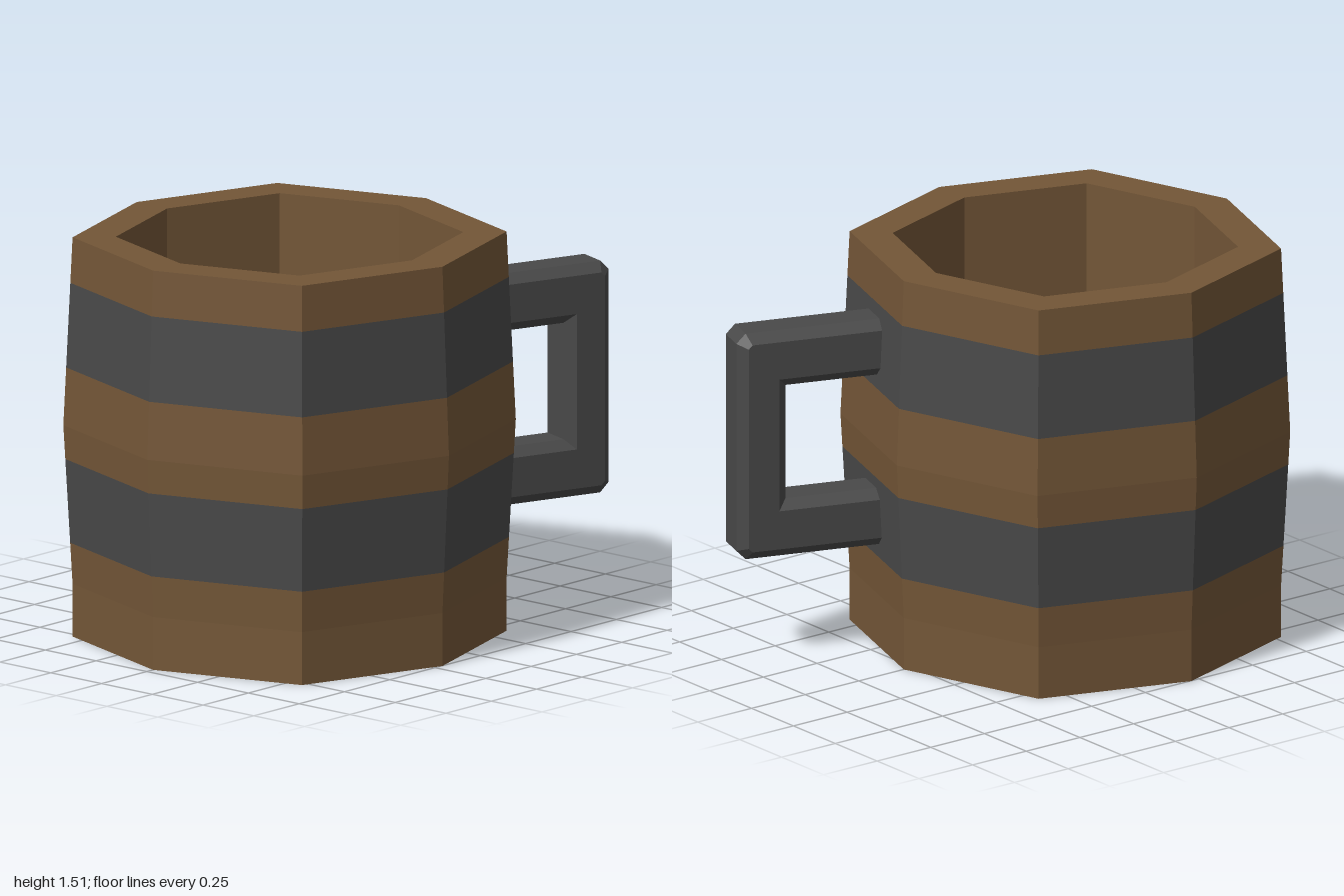
import * as THREE from 'three';

const wood = new THREE.MeshStandardMaterial({ name: 'brown wood', color: 0x735637, flatShading: true });
const iron = new THREE.MeshStandardMaterial({ name: 'dark iron', color: 0x494949, flatShading: true });

const CENTER_Z = 0.2125;

// Outer radius of the bulging barrel at a given height
function radius(y) {
  if (y <= 0.2) return 0.753;
  if (y <= 0.8) return 0.753 + 0.032 * (y - 0.2) / 0.6;
  return 0.785 - 0.032 * (y - 0.8) / 0.71;
}

// Eight-sided ring turned from [radius, y] points, with the diagonal corners pushed out
function staves(name, points, material) {
  const geo = new THREE.LatheGeometry(points.map(([r, y]) => new THREE.Vector2(r, y)), 8);
  const pos = geo.attributes.position;
  for (let i = 0; i < pos.count; i++) {
    const x = pos.getX(i), z = pos.getZ(i);
    const diagonal = Math.min(Math.abs(x), Math.abs(z)) > 1e-4;
    const k = diagonal ? 0.75 * Math.SQRT2 : 1;
    pos.setXYZ(i, x * k, pos.getY(i), z * k);
  }
  const flat = geo.toNonIndexed();
  flat.computeVertexNormals();
  const mesh = new THREE.Mesh(flat, material);
  mesh.name = name;
  return mesh;
}

const outer = (...heights) => heights.map((y) => [radius(y), y]);

// C-shaped bar with chamfered edges, u pointing away from the mug
function makeHandle() {
  const inU = 0.66, holeU = 1.089, outU = 1.28, c = 0.036;
  const low = 0.41, holeLow = 0.63, holeHigh = 1.07, high = 1.287;
  const shape = new THREE.Shape([
    [inU, low], [outU - c, low], [outU, low + c], [outU, high - c], [outU - c, high],
    [inU, high], [inU, holeHigh], [holeU, holeHigh], [holeU, holeLow], [inU, holeLow],
  ].map(([u, y]) => new THREE.Vector2(u, y)));
  const geo = new THREE.ExtrudeGeometry(shape, {
    depth: 0.19 - 2 * c, bevelEnabled: true, bevelSegments: 1,
    bevelThickness: c, bevelSize: c, bevelOffset: -c,
  });
  geo.translate(0, 0, -0.035 + c);
  const mesh = new THREE.Mesh(geo, iron);
  mesh.name = 'handle';
  mesh.rotation.y = Math.atan2(0.947, 0.321); // square to a back face
  return mesh;
}

export function createModel() {
  const mug = new THREE.Group();
  mug.name = 'mug';

  // Wooden body, with the rim and hollow in the upper piece
  mug.add(staves('lowerStaves', [[0, 0], ...outer(0, 0.2, 0.355)], wood));
  mug.add(staves('middleStaves', outer(0.672, 0.8, 1.018), wood));
  mug.add(staves('rimAndInside', [...outer(1.338, 1.51), [0.603, 1.51], [0.603, 0.2], [0, 0.2]], wood));

  // Flush metal hoops
  mug.add(staves('lowerHoop', outer(0.355, 0.672), iron));
  mug.add(staves('upperHoop', outer(1.018, 1.338), iron));

  mug.add(makeHandle());

  mug.position.z = CENTER_Z;
  const model = new THREE.Group();
  model.add(mug);
  return model;
}
